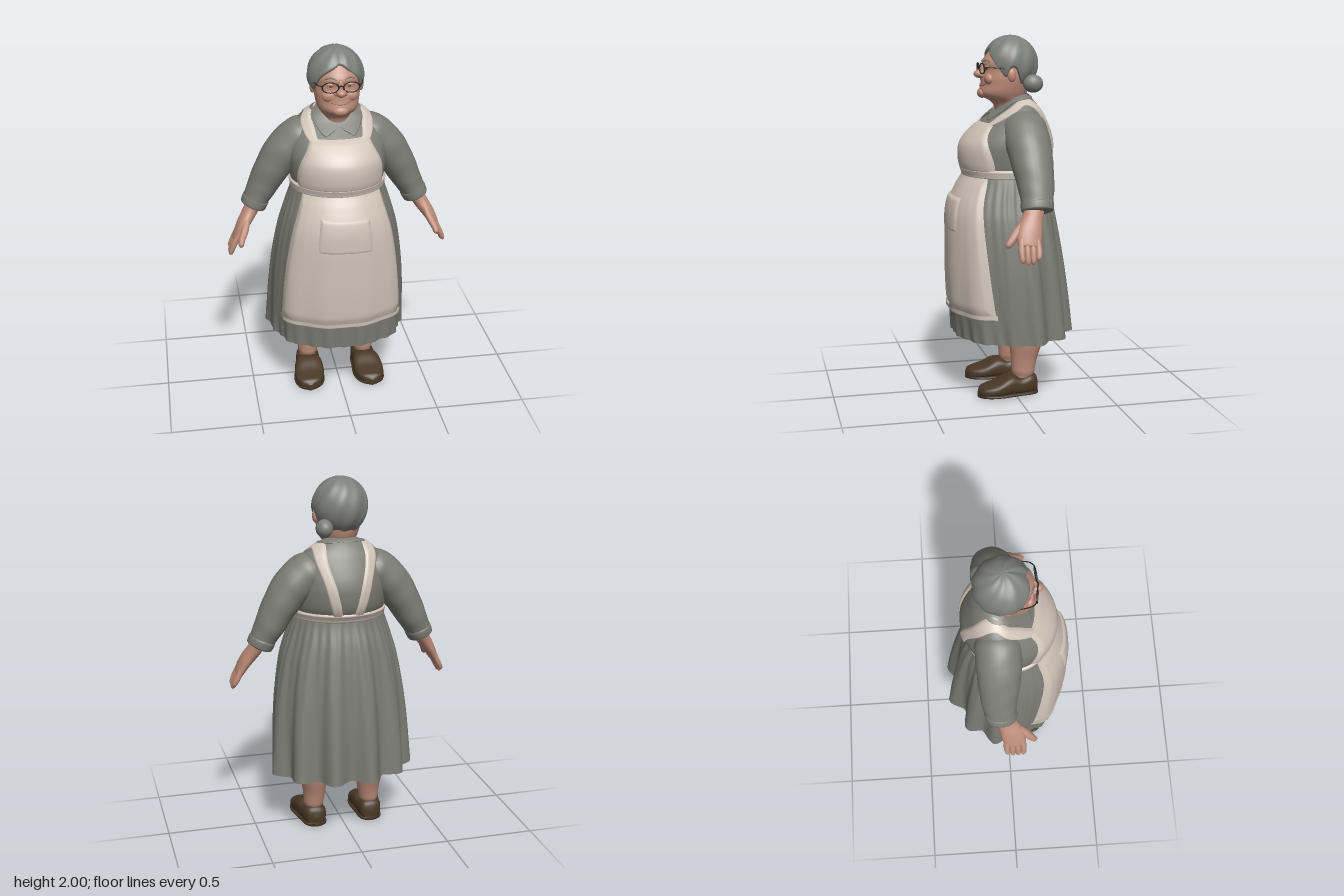
import * as THREE from 'three';
import { mergeVertices } from 'three/addons/utils/BufferGeometryUtils.js';

const paint = (name, color) => {
  const m = new THREE.MeshStandardMaterial({ color, side: THREE.DoubleSide });
  m.name = name;
  return m;
};
const PI = Math.PI, { sin, cos, min, max, abs, sign, sqrt, exp } = Math;

// Smooth interpolation of table rows [key, a, b, ...]
function profile(rows) {
  const slope = (i, k) => {
    const a = rows[max(0, i - 1)], b = rows[min(rows.length - 1, i + 1)];
    return (b[k] - a[k]) / (b[0] - a[0]);
  };
  return (y) => {
    y = min(max(y, rows[0][0]), rows[rows.length - 1][0]);
    let i = 0;
    while (i < rows.length - 2 && y > rows[i + 1][0]) i++;
    const p = rows[i], q = rows[i + 1], h = q[0] - p[0], t = (y - p[0]) / h, s = t * t * (3 - 2 * t);
    return p.slice(1).map((v, k) => v + (q[k + 1] - v) * s
      + h * t * (1 - t) * ((1 - t) * slope(i, k + 1) - t * slope(i + 1, k + 1)));
  };
}

// Oval body section; rows are [y, half width, front z, back z], angle 0 faces front
const oval = (rows) => {
  const p = profile(rows);
  return (y, a, off = 0) => {
    const [w, f, b] = p(y);
    return [(w + off) * sin(a), y, (f + b) / 2 + ((f - b) / 2 + off) * cos(a)];
  };
};

// Smooth surface from f(u, v)
function surface(name, mat, nu, nv, f) {
  const pos = [], idx = [];
  for (let j = 0; j <= nv; j++) for (let i = 0; i <= nu; i++) pos.push(...f(i / nu, j / nv));
  for (let j = 0; j < nv; j++) for (let i = 0; i < nu; i++) {
    const a = j * (nu + 1) + i, c = a + nu + 1;
    idx.push(a, a + 1, c, a + 1, c + 1, c);
  }
  let g = new THREE.BufferGeometry();
  g.setAttribute('position', new THREE.Float32BufferAttribute(pos, 3));
  g.setIndex(idx);
  g = mergeVertices(g, 1e-5);
  g.computeVertexNormals();
  const m = new THREE.Mesh(g, mat);
  m.name = name;
  return m;
}

// Limb through rows [x, y, z, radius across, radius in depth] with a rounded end
function limb(name, mat, rows, { s = 1, cap = 0.08, nu = 20, nv = 24, wave = 0 } = {}) {
  const path = new THREE.CatmullRomCurve3(rows.map((r) => new THREE.Vector3(s * r[0], r[1], r[2])));
  const rad = new THREE.CatmullRomCurve3(rows.map((r) => new THREE.Vector3(r[3], r[4], 0)));
  return surface(name, mat, nu, nv, (u, v) => {
    const c = path.getPoint(v), r = rad.getPoint(v), t = path.getTangent(v);
    const b = new THREE.Vector3(0, 0, 1).addScaledVector(t, -t.z).normalize();
    const n = new THREE.Vector3().crossVectors(t, b);
    const e = 1 - min(1, (1 - v) / cap), a = u * 2 * PI;
    const k = sqrt(max(0, 1 - e * e)) * (1 + wave * sin(v * 34 + 3 * sin(a)));
    c.addScaledVector(n, r.x * k * cos(a)).addScaledVector(b, r.y * k * sin(a));
    return [c.x, c.y, c.z];
  });
}

const rim = (u, v) => min(1, 14 * min(u, 1 - u, v, 1 - v)); // tucks patch edges onto the cloth below

export function createModel() {
  const dress = paint('dress grey', 0x7b7c73), hairMat = paint('hair grey', 0x7d7f7a);
  const cream = paint('apron cream', 0xd0c3b7), skin = paint('skin', 0xbd8c79);
  const brown = paint('shoe brown', 0x493826), dark = paint('sole brown', 0x423222);
  const black = paint('glasses black', 0x222222), lip = paint('lip', 0xa06c5e);
  const model = new THREE.Group();
  const add = (...m) => model.add(...m);
  const ball = (name, mat, p, r) => {
    const m = new THREE.Mesh(new THREE.SphereGeometry(1, 24, 16), mat);
    m.name = name; m.position.set(...p); m.scale.set(...r);
    add(m);
  };
  const tube = (name, mat, pts, r) => {
    const c = new THREE.CatmullRomCurve3(pts.map((p) => new THREE.Vector3(...p)));
    const m = new THREE.Mesh(new THREE.TubeGeometry(c, 14, r, 6), mat);
    m.name = name;
    add(m);
  };

  // Skirt with deep folds at the back, dented sides and a rippled hem
  const skirtBase = oval([[0.335, 0.4, 0.315, -0.33], [0.6, 0.388, 0.335, -0.31], [0.8, 0.368, 0.34, -0.288],
    [1, 0.333, 0.335, -0.258], [1.1, 0.303, 0.315, -0.237], [1.2, 0.27, 0.268, -0.205], [1.26, 0.25, 0.25, -0.195]]);
  const skirtAt = (y, a, off = 0) => {
    const k = (1.26 - y) / 0.92, back = ((1 - cos(a)) / 2) ** 1.5;
    const gather = 0.004 * cos(36 * a) * min(1, 8 * k) * (1 - k) * min(1, 3 * back);
    const dent = 0.03 * k * exp(-(((Math.acos(cos(a)) - 1.27) / 0.2) ** 2));
    const ripple = 0.005 * max(0, min(1, (0.49 - y) / 0.12)) * (1 - back) * cos(28 * a);
    return skirtBase(y, a, off + gather + ripple - dent - k * (0.004 + 0.032 * back) * cos(12 * a));
  };
  add(surface('skirt', dress, 216, 36, (u, v) => skirtAt(0.337 + 0.923 * v, u * 2 * PI)));
  add(surface('skirtLining', dress, 108, 4, (u, v) => {
    const [x, y, z] = skirtAt(0.4, u * 2 * PI);
    return [x * v, y, z * v];
  }));
  add(surface('hemLining', cream, 216, 2, (u, v) => skirtAt(0.337 + 0.022 * v, u * 2 * PI, -0.002 - 0.006 * v)));

  // Bodice
  const torsoAt = oval([[1.24, 0.25, 0.245, -0.195], [1.31, 0.263, 0.265, -0.235], [1.4, 0.27, 0.262, -0.245],
    [1.46, 0.265, 0.225, -0.235], [1.52, 0.25, 0.16, -0.213], [1.56, 0.232, 0.112, -0.195], [1.6, 0.2, 0.065, -0.175],
    [1.635, 0.153, 0.035, -0.15], [1.665, 0.1, 0.01, -0.12], [1.685, 0.05, -0.02, -0.09]]);
  add(surface('bodice', dress, 64, 40, (u, v) => torsoAt(1.24 + 0.445 * v, u * 2 * PI)));

  // Apron panel, pocket, bib and waistband
  const apronAngle = (y) => 1.13 - 0.2 * (y - 0.47);
  add(surface('apronSkirt', cream, 70, 50, (u, v) => {
    const y = 0.475 + 0.77 * v;
    return skirtAt(y, (2 * u - 1) * apronAngle(y), -0.002 + 0.016 * rim(u, v));
  }));
  add(surface('apronHem', cream, 60, 6, (u, v) => skirtAt(0.472 + 0.03 * v, (2 * u - 1) * 1.132, 0.018 * rim(u, v / 2))));
  add(surface('apronPocket', cream, 30, 30, (u, v) =>
    skirtAt(0.94 + 0.195 * v - 0.01 * u, (2 * u - 1) * 0.46, 0.01 + (0.007 + 0.009 * v) * rim(u, v))));
  const bibAngle = profile([[1.24, 1.16], [1.32, 1.12], [1.4, 0.98], [1.47, 0.8], [1.53, 0.7]]);
  add(surface('apronBib', cream, 50, 36, (u, v) => {
    const y = 1.25 + 0.28 * v;
    return torsoAt(y, (2 * u - 1) * bibAngle(y)[0], -0.002 + 0.014 * rim(u, v));
  }));
  add(surface('waistband', cream, 72, 12, (u, v) => torsoAt(1.226 + 0.054 * v, u * 2 * PI, 0.013 * min(1, 7 * min(v, 1 - v)))));

  // Shoulder straps, from bib over the shoulders down to the back of the waistband
  const strapOut = profile([[0, 0.74, 1.52], [0.2, 1.1, 1.578], [0.4, 1.57, 1.622], [0.6, 2.15, 1.595], [0.8, 2.57, 1.48], [1, 2.82, 1.26]]);
  const strapIn = profile([[0, 0.48, 1.52], [0.2, 0.76, 1.6], [0.4, 1.57, 1.662], [0.6, 2.44, 1.63], [0.8, 2.82, 1.48], [1, 3.03, 1.26]]);
  // Collar flaps
  const collarTop = profile([[0.03, 1.585], [0.5, 1.615], [1.2, 1.655], [PI, 1.678]]);
  const collarLow = profile([[0.03, 1.575], [0.18, 1.553], [0.34, 1.537], [0.55, 1.575], [0.85, 1.625], [1.3, 1.645], [PI, 1.66]]);
  for (const s of [1, -1]) {
    add(surface('strap', cream, 10, 50, (u, v) => {
      const a = strapOut(v), b = strapIn(v);
      return torsoAt(a[1] + (b[1] - a[1]) * u, s * (a[0] + (b[0] - a[0]) * u), 0.01 * min(1, 8 * min(u, 1 - u)));
    }));
    add(surface('collar', dress, 50, 10, (u, v) => {
      const a = 0.03 + (PI - 0.03) * u * u, lo = collarLow(a)[0], hi = collarTop(a)[0];
      return torsoAt(lo + (hi - lo) * v, s * a, 0.011 * min(1, 8 * v + 0.05));
    }));

    // Sleeve with a folded cuff
    add(limb('sleeve', dress, [[0.13, 1.515, -0.05, 0.09, 0.11], [0.195, 1.483, -0.05, 0.116, 0.125], [0.275, 1.415, -0.052, 0.112, 0.122],
      [0.345, 1.32, -0.056, 0.098, 0.112], [0.405, 1.21, -0.06, 0.084, 0.098], [0.445, 1.135, -0.055, 0.071, 0.086],
      [0.468, 1.085, -0.052, 0.068, 0.082]], { s, cap: 0.03, nu: 28, nv: 60, wave: 0.009 }));
    add(limb('cuff', dress, [[0.443, 1.14, -0.055, 0.062, 0.078], [0.447, 1.13, -0.055, 0.075, 0.09], [0.457, 1.108, -0.053, 0.074, 0.088],
      [0.468, 1.083, -0.052, 0.07, 0.084]], { s, cap: 0.15, nu: 28, nv: 16 }));

    // Hand
    add(limb('hand', skin, [[0.455, 1.12, -0.04, 0.042, 0.055], [0.49, 1.06, -0.02, 0.04, 0.055], [0.53, 1, 0.005, 0.034, 0.066],
      [0.56, 0.945, 0.015, 0.026, 0.064], [0.575, 0.915, 0.02, 0.02, 0.058]], { s, cap: 0.1 }));
    for (let i = 0; i < 4; i++) {
      const z = 0.063 - 0.031 * i, d = [0.008, -0.004, 0, 0.022][i];
      add(limb('finger', skin, [[0.557, 0.96, z * 0.9, 0.017, 0.018], [0.587, 0.9, z, 0.016, 0.017],
        [0.61, 0.835 + d, z * 0.9 + 0.004, 0.012, 0.014]], { s, cap: 0.2, nu: 12, nv: 12 }));
    }
    add(limb('thumb', skin, [[0.505, 1.04, 0.02, 0.022, 0.028], [0.525, 0.99, 0.075, 0.021, 0.024], [0.545, 0.95, 0.11, 0.018, 0.02],
      [0.553, 0.918, 0.135, 0.014, 0.016]], { s, cap: 0.15, nu: 12, nv: 14 }));

    // Leg
    add(limb('leg', skin, [[0.158, 0.5, -0.07, 0.092, 0.1], [0.163, 0.42, -0.068, 0.09, 0.1], [0.165, 0.32, -0.066, 0.084, 0.096],
      [0.162, 0.2, -0.055, 0.065, 0.074], [0.166, 0.12, -0.05, 0.056, 0.064], [0.168, 0.06, -0.045, 0.056, 0.064]], { s }));

    // Shoe and sole: rows are [z, half width, height]
    const shoe = profile([[-0.135, 0.012, 0.06], [-0.125, 0.045, 0.1], [-0.09, 0.064, 0.118], [-0.03, 0.071, 0.104], [0.015, 0.077, 0.118],
      [0.05, 0.083, 0.112], [0.11, 0.086, 0.082], [0.16, 0.075, 0.068], [0.195, 0.05, 0.058], [0.212, 0.01, 0.036]]);
    const shoeSkin = (grow, cut, low) => (u, v) => {
      const z = 0.0385 - 0.1735 * cos(v * PI), [w, h] = shoe(z), a = u * 2 * PI, c = cos(a), n = sin(a);
      const y = low + (min(h, cut) - low) / 2 * (1 + sign(n) * abs(n) ** 0.7);
      return [s * (0.17 + 0.06 * z + (w + grow) * sign(c) * abs(c) ** 0.7), y, z];
    };
    add(surface('shoe', brown, 32, 36, shoeSkin(0, 1, 0.006)), surface('sole', dark, 32, 36, shoeSkin(0.003, 0.024, 0)));
  }

  // Head and neck
  const headAt = oval([[1.54, 0.07, 0.06, -0.11], [1.62, 0.076, 0.08, -0.1], [1.645, 0.088, 0.105, -0.1], [1.665, 0.1, 0.145, -0.1],
    [1.69, 0.111, 0.16, -0.11], [1.73, 0.12, 0.152, -0.12], [1.77, 0.125, 0.148, -0.13], [1.81, 0.124, 0.139, -0.13],
    [1.85, 0.12, 0.145, -0.12], [1.89, 0.108, 0.121, -0.1], [1.93, 0.08, 0.085, -0.08], [1.96, 0.02, 0.03, -0.02]]);
  add(surface('headAndNeck', skin, 48, 48, (u, v) => headAt(1.54 + 0.42 * v, u * 2 * PI)));
  ball('nose', skin, [0, 1.789, 0.157], [0.028, 0.023, 0.034]);
  ball('noseBridge', skin, [0, 1.82, 0.142], [0.015, 0.038, 0.018]);
  ball('chin', skin, [0, 1.685, 0.142], [0.045, 0.028, 0.03]);
  tube('mouth', lip, [-0.5, -0.25, 0, 0.25, 0.5].map((a) => headAt(1.724 + 0.05 * a * a, a, 0.001)), 0.0035);

  for (const s of [1, -1]) {
    ball('cheek', skin, headAt(1.762, s * 0.5, -0.018), [0.045, 0.034, 0.026]);
    ball('nostrilWing', skin, [s * 0.022, 1.782, 0.146], [0.013, 0.013, 0.017]);
    ball('ear', skin, [s * 0.13, 1.785, 0.006], [0.016, 0.036, 0.024]);
    ball('eye', black, headAt(1.817, s * 0.4, -0.003), [0.012, 0.005, 0.006]);
    ball('eyelid', skin, headAt(1.828, s * 0.42, -0.004), [0.026, 0.008, 0.01]);
    tube('eyebrow', hairMat, [0.18, 0.42, 0.7].map((a, i) => headAt(1.856 + [0, 0.008, -0.002][i], s * a, 0.001)), 0.004);
    // Glasses
    const lens = new THREE.Mesh(new THREE.TorusGeometry(0.044, 0.004, 8, 32), black);
    lens.name = 'lensFrame';
    lens.position.set(s * 0.056, 1.819, 0.155);
    lens.scale.y = 0.64;
    lens.rotation.y = s * 0.12;
    add(lens);
    tube('glassesTemple', black, [[s * 0.099, 1.828, 0.15], [s * 0.118, 1.828, 0.13], [s * 0.13, 1.824, 0.07], [s * 0.134, 1.812, 0]], 0.003);
  }
  tube('glassesBridge', black, [[-0.014, 1.822, 0.16], [0, 1.829, 0.164], [0.014, 1.822, 0.16]], 0.0035);

  // Hair swept back in waves from an off-centre parting, and a side bun
  const hairline = profile([[0, 1.02], [0.35, 1.2], [0.7, 1.45], [1, 1.82], [1.2, 2.02], [1.38, 1.68], [1.62, 1.75], [1.85, 2.3], [2.3, 2.55], [PI, 2.6]]);
  add(surface('hair', hairMat, 120, 44, (u, v) => {
    const a = (u * 2 - 1) * PI, edge = v > 0.92 ? 1 - 1.5 * (v - 0.92) : 1;
    const p = min(1, v / 0.95) * (hairline(abs(a))[0] - 0.1 * exp(-(((a - 0.15) / 0.2) ** 2)));
    const part = 0.05 * exp(-(((a - 0.15) / 0.16) ** 2)) * sin(p);
    const side = 0.035 * exp(-(((abs(a) - 1.35) / 0.35) ** 2)) * max(0, sin(2 * (p - 0.7)));
    const k = edge * (1 + side - part + 0.016 * sin(p) * cos(9 * a + 4 * p));
    return [-0.005 + 0.15 * k * sin(p) * sin(a), 1.84 + 0.16 * k * cos(p), -0.016 + 0.154 * k * sin(p) * cos(a)];
  }));
  ball('hairBun', hairMat, [0.11, 1.738, -0.118], [0.046, 0.05, 0.056]);

  return model;
}
